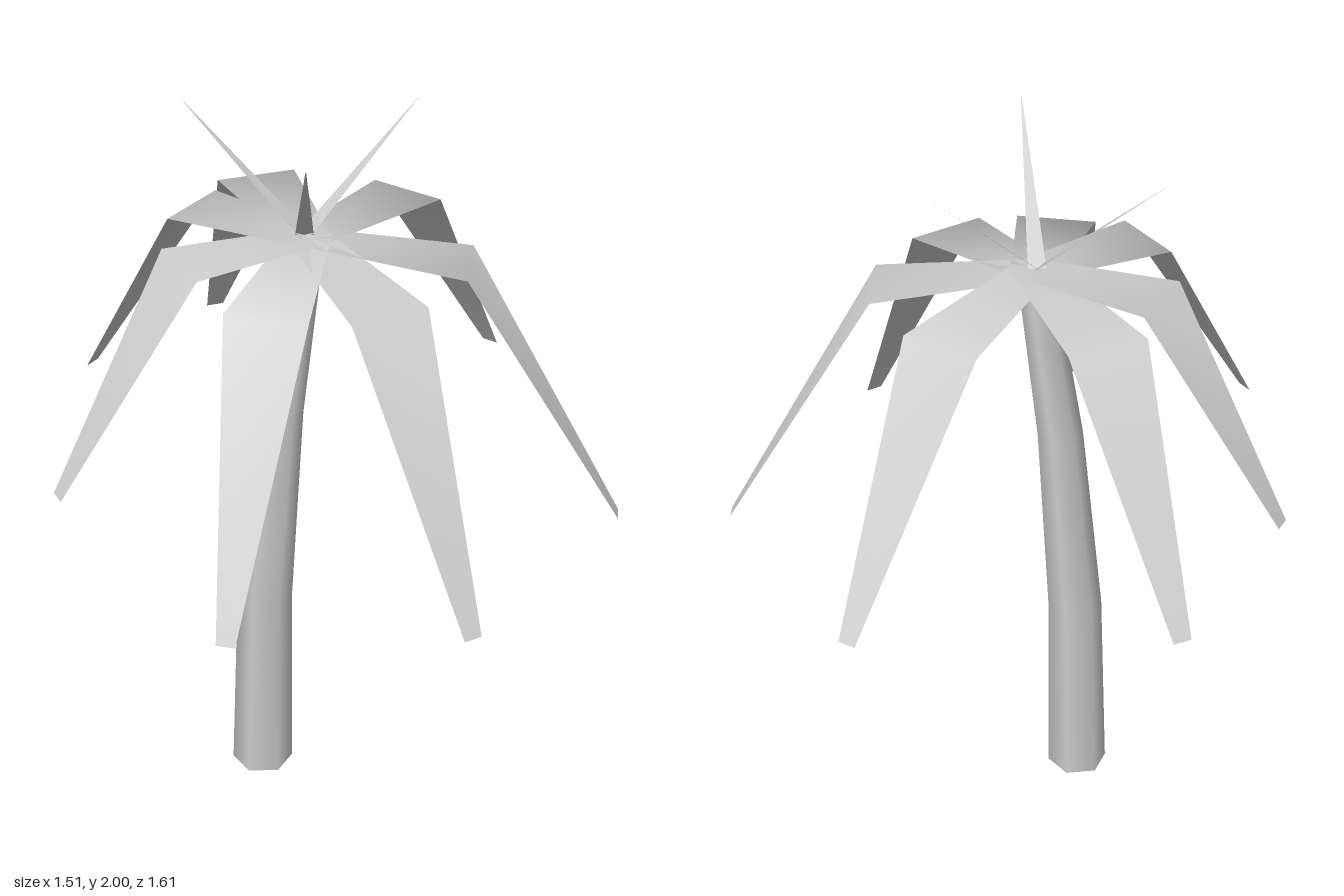
import * as THREE from 'three';

const CROWN = new THREE.Vector3(-0.08, 1.665, 0.05);
const trunkMaterial = new THREE.MeshStandardMaterial({ color: 0xcccccc });
const leafMaterial = new THREE.MeshStandardMaterial({ color: 0xcccccc, side: THREE.DoubleSide });

// Leaning six-sided trunk: each ring of a cylinder gets its own centre and radius
function createTrunk() {
  const rings = [ // x, y, radius
    [-0.225, 0, 0.086], [-0.21, 0.57, 0.077], [-0.16, 1.15, 0.063], [-0.087, 1.66, 0.05],
  ];
  const geometry = new THREE.CylinderGeometry(1, 1, 3, 6, 3, false, Math.PI / 2);
  const p = geometry.attributes.position;
  for (let i = 0; i < p.count; i++) {
    const [x, y, r] = rings[Math.round(p.getY(i) + 1.5)];
    p.setXYZ(i, x + p.getX(i) * r, y, 0.054 + p.getZ(i) * r);
  }
  const trunk = new THREE.Mesh(geometry, trunkMaterial);
  trunk.name = 'trunk';
  return trunk;
}

// Leaf strip: rows of { centre, half width }, widened sideways to its heading
function createLeaf(name, rows) {
  const heading = rows[rows.length - 1].centre.clone().sub(rows[0].centre).setY(0).normalize();
  const side = new THREE.Vector3(heading.z, 0, -heading.x);
  const points = [], index = [];
  rows.forEach(({ centre, half }, i) => {
    for (const s of [1, -1]) points.push(...centre.clone().addScaledVector(side, s * half).toArray());
    if (i > 0) {
      const a = 2 * (i - 1);
      index.push(a, a + 1, a + 2, a + 1, a + 3, a + 2);
    }
  });
  const geometry = new THREE.BufferGeometry();
  geometry.setAttribute('position', new THREE.Float32BufferAttribute(points, 3));
  geometry.setIndex(index);
  geometry.computeVertexNormals();
  const leaf = new THREE.Mesh(geometry, leafMaterial);
  leaf.name = name;
  return leaf;
}

export function createModel() {
  const palm = new THREE.Group();
  palm.name = 'palmTree';
  palm.add(createTrunk());

  // Drooping fronds, bent halfway: tip x, tip z, bend height, tip height
  const fronds = new THREE.Group();
  fronds.name = 'fronds';
  const droops = [
    [-0.33, -0.803, 1.66, 1.055],
    [0.49, -0.625, 1.645, 1.0],
    [0.752, 0.195, 1.615, 0.885],
    [0.293, 0.79, 1.615, 0.9],
    [-0.323, 0.797, 1.62, 0.905],
    [-0.748, 0.348, 1.665, 1.08],
    [-0.683, -0.38, 1.67, 1.09],
  ];
  for (const [x, z, bendY, tipY] of droops) {
    const tip = new THREE.Vector3(x, tipY, z);
    const bend = CROWN.clone().lerp(tip, 0.5).setY(bendY);
    fronds.add(createLeaf('frond', [
      { centre: CROWN, half: 0.06 },
      { centre: bend, half: 0.11 },
      { centre: tip, half: 0.025 },
    ]));
  }
  palm.add(fronds);

  // Three young shoots pointing up from the crown
  const shoots = new THREE.Group();
  shoots.name = 'shoots';
  const root = new THREE.Vector3(-0.09, 1.67, 0.045);
  for (const [x, y, z] of [[-0.395, 1.975, -0.135], [0.215, 1.975, -0.125], [-0.1, 2, 0.41]]) {
    const tip = new THREE.Vector3(x, y, z);
    shoots.add(createLeaf('shoot', [
      { centre: root, half: 0.024 },
      { centre: root.clone().lerp(tip, 0.2), half: 0.02 },
      { centre: tip, half: 0.001 },
    ]));
  }
  palm.add(shoots);
  return palm;
}
